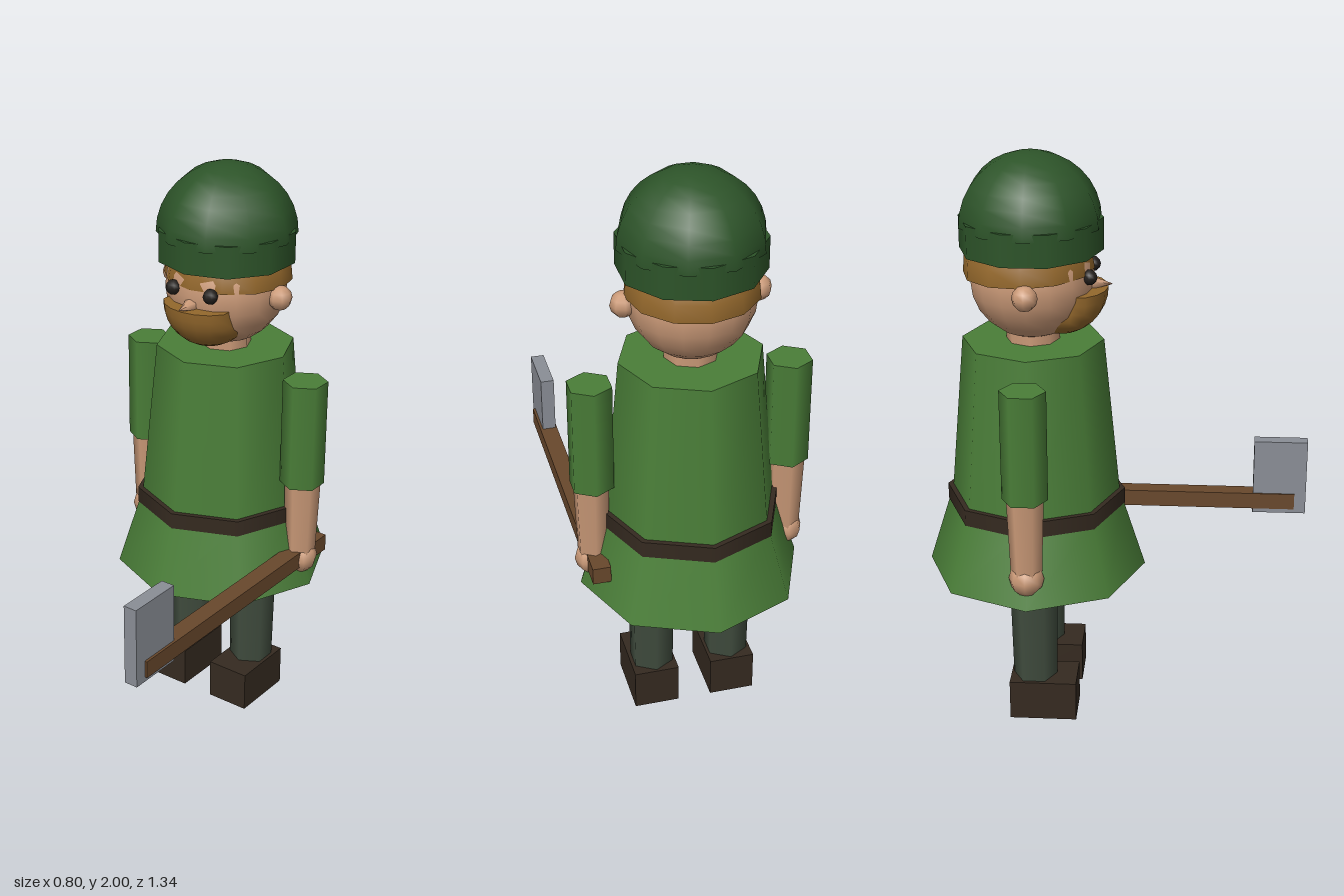
import * as THREE from 'three';

const mat = (name, color) => {
  const m = new THREE.MeshStandardMaterial({ color });
  m.name = name;
  return m;
};

export function createModel() {
  const tunicGreen = mat('tunic green', 0x4a7e38);
  const hatGreen = mat('hat green', 0x2d5429);
  const skin = mat('skin', 0xcb9a78);
  const hairBrown = mat('hair brown', 0x94682c);
  const trouserGreen = mat('trouser green', 0x404c3e);
  const leather = mat('dark leather', 0x352a20);
  const wood = mat('wood', 0x69482c);
  const steel = mat('steel', 0x8a8e96);
  const black = mat('eye black', 0x231f1c);

  const model = new THREE.Group();
  model.name = 'woodsman';
  const Z = -0.285; // body axis

  const add = (name, geometry, material, x, y, z) => {
    const mesh = new THREE.Mesh(geometry, material);
    mesh.name = name;
    mesh.position.set(x, y, z);
    model.add(mesh);
    return mesh;
  };
  // Tapered prism standing between two heights
  const column = (name, material, rTop, rBottom, y0, y1, sides, x = 0) =>
    add(name, new THREE.CylinderGeometry(rTop, rBottom, y1 - y0, sides), material, x, (y0 + y1) / 2, Z);

  // Tunic and belt
  column('tunic', tunicGreen, 0.24, 0.295, 0.78, 1.365, 8);
  column('skirt', tunicGreen, 0.298, 0.382, 0.525, 0.79, 8);
  column('belt', leather, 0.31, 0.31, 0.76, 0.817, 8);

  // Head
  column('neck', skin, 0.09, 0.09, 1.34, 1.44, 8);
  add('head', new THREE.SphereGeometry(0.21, 16, 12), skin, 0, 1.587, Z);
  const nose = add('nose', new THREE.ConeGeometry(0.026, 0.07, 6), skin, 0, 1.56, -0.05);
  nose.rotation.x = Math.PI / 2;

  // Hair cap, tipped slightly back
  const hair = add('hair', new THREE.SphereGeometry(0.22, 12, 6, 0, Math.PI * 2, 0, Math.PI / 2),
    hairBrown, 0, 1.605, -0.295);
  hair.rotation.x = -0.045;
  const hairBase = new THREE.Mesh(new THREE.CircleGeometry(0.22, 12), hairBrown);
  hairBase.name = 'hairUnderside';
  hairBase.rotation.x = Math.PI / 2;
  hair.add(hairBase);

  // Beard: lower half ball with trimmed sides and a flat top
  const trim = (geometry) => {
    const p = geometry.attributes.position;
    for (let i = 0; i < p.count; i++) p.setX(i, THREE.MathUtils.clamp(p.getX(i), -0.125, 0.125));
    geometry.computeVertexNormals();
    return geometry;
  };
  const beard = add('beard', trim(new THREE.SphereGeometry(0.16, 20, 8, 0, Math.PI * 2, Math.PI / 2, Math.PI / 2)),
    hairBrown, 0, 1.55, -0.19);
  const beardTop = new THREE.Mesh(trim(new THREE.CircleGeometry(0.16, 20).rotateX(-Math.PI / 2)), hairBrown);
  beardTop.name = 'beardTop';
  beard.add(beardTop);

  // Hat
  add('hatDome', new THREE.SphereGeometry(0.24, 10, 8, 0, Math.PI * 2, 0, Math.PI / 2), hatGreen, 0, 1.762, Z);
  column('hatBand', hatGreen, 0.24, 0.24, 1.678, 1.787, 10);

  // Paired parts
  for (const [side, s] of [['left', 1], ['right', -1]]) {
    add(side + 'Eye', new THREE.SphereGeometry(0.026, 8, 6), black, s * 0.077, 1.605, -0.087);
    add(side + 'Ear', new THREE.SphereGeometry(0.043, 8, 6), skin, s * 0.22, 1.575, Z);
    column(side + 'Sleeve', tunicGreen, 0.077, 0.077, 0.92, 1.303, 6, s * 0.334);
    column(side + 'Forearm', skin, 0.063, 0.052, 0.62, 0.93, 6, s * 0.337);
    add(side + 'Hand', new THREE.SphereGeometry(0.06, 8, 6), skin, s * 0.34, 0.63, Z);
    column(side + 'Leg', trouserGreen, 0.085, 0.077, 0.12, 0.56, 6, s * 0.136);
    add(side + 'Boot', new THREE.BoxGeometry(0.157, 0.145, 0.235), leather, s * 0.137, 0.0725, -0.2525);
  }

  // Axe held in the left hand
  add('axeHandle', new THREE.BoxGeometry(0.062, 0.06, 1.04), wood, 0.334, 0.635, 0.11);
  add('axeHead', new THREE.BoxGeometry(0.048, 0.282, 0.193), steel, 0.332, 0.729, 0.575);

  return model;
}
